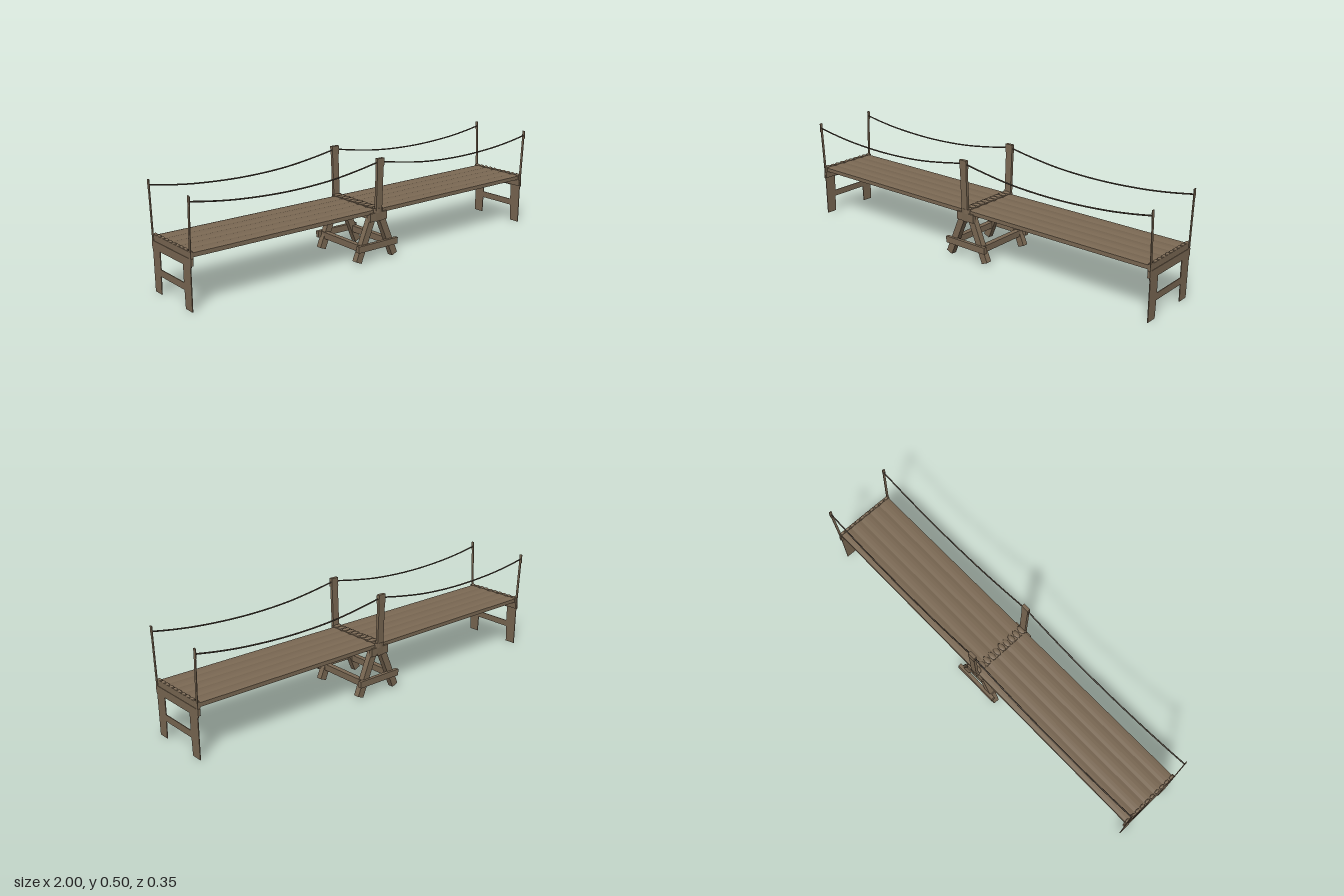
import * as THREE from 'three';

const wood = new THREE.MeshStandardMaterial({ color: 0x7a6853 });
wood.name = 'weathered wood';
const rope = new THREE.MeshStandardMaterial({ color: 0x51463a });
rope.name = 'dark rope';
const V = (x, y, z) => new THREE.Vector3(x, y, z);

function add(group, name, geometry, material = wood) {
  const mesh = new THREE.Mesh(geometry, material);
  mesh.name = name;
  group.add(mesh);
  return mesh;
}

function box(group, name, w, h, d, x, y, z) {
  const mesh = add(group, name, new THREE.BoxGeometry(w, h, d));
  mesh.position.set(x, y, z);
  return mesh;
}

// Squared timber between two points; `side` is the direction of its width
function timber(group, name, a, b, width, depth, side = V(1, 0, 0)) {
  const length = a.distanceTo(b);
  const mesh = add(group, name, new THREE.BoxGeometry(width, length, depth));
  const y = b.clone().sub(a).normalize();
  const z = side.clone().cross(y).normalize();
  const x = y.clone().cross(z);
  mesh.quaternion.setFromRotationMatrix(new THREE.Matrix4().makeBasis(x, y, z));
  mesh.position.copy(a).add(b).multiplyScalar(0.5);
  return mesh;
}

// Long plank with a slightly crowned top, running along x
function plankGeometry(width, length) {
  const h = width / 2;
  const s = new THREE.Shape();
  s.moveTo(-h, 0.236);
  s.lineTo(h, 0.236);
  s.lineTo(h, 0.255);
  s.quadraticCurveTo(0, 0.263, -h, 0.255);
  const g = new THREE.ExtrudeGeometry(s, { depth: length, bevelEnabled: false, curveSegments: 4 });
  return g.rotateY(Math.PI / 2);
}

// Thin end trestle: two legs, apron and cross rail cut from one outline
function endFrameGeometry() {
  const s = new THREE.Shape();
  [[-0.157, 0], [-0.103, 0], [-0.1, 0.083], [0.1, 0.083], [0.103, 0], [0.157, 0],
    [0.159, 0.19], [0.165, 0.2], [0.165, 0.232], [-0.165, 0.232], [-0.165, 0.2], [-0.159, 0.19]]
    .forEach(([x, y], i) => (i ? s.lineTo(x, y) : s.moveTo(x, y)));
  const hole = new THREE.Path();
  hole.moveTo(-0.098, 0.115);
  hole.lineTo(-0.098, 0.195);
  hole.lineTo(0.098, 0.195);
  hole.lineTo(0.098, 0.115);
  s.holes.push(hole);
  const g = new THREE.ExtrudeGeometry(s, { depth: 0.004, bevelEnabled: false });
  return g.translate(0, 0, -0.002).rotateY(Math.PI / 2);
}

export function createModel() {
  const model = new THREE.Group();
  model.name = 'footbridge';

  // Walkway: two spans of five planks
  const deck = new THREE.Group();
  deck.name = 'deck';
  model.add(deck);
  for (const x of [-0.996, 0]) {
    for (let i = 0; i < 5; i++) {
      const plank = add(deck, 'plank', plankGeometry(0.062, 0.996));
      plank.position.set(x, 0, (i - 2) * 0.062);
    }
  }

  // Cross boards with rounded knots over the middle and the ends
  for (const [x, w] of [[-0.991, 0.014], [0, 0.044], [0.991, 0.014]]) {
    box(deck, 'crossBoard', w, 0.03, 0.318, x, 0.246, 0);
    for (let i = 0; i < 10; i++) {
      const knot = add(deck, 'lashing', new THREE.SphereGeometry(1, 8, 6));
      knot.scale.set(w * 0.55, 0.007, 0.014);
      knot.position.set(x, 0.26, (i - 4.5) * 0.032);
    }
  }

  // End trestles with thin rail stakes
  for (const s of [-1, 1]) {
    const end = new THREE.Group();
    end.name = 'endTrestle';
    model.add(end);
    add(end, 'endFrame', endFrameGeometry()).position.x = s * 0.998;
    box(end, 'endApron', 0.012, 0.03, 0.326, s * 0.993, 0.216, 0);
    for (const z of [-1, 1]) {
      timber(end, 'endStake', V(s * 0.998, 0.2, z * 0.155), V(s * 0.998, 0.5, z * 0.168), 0.004, 0.012);
      box(end, 'stakeHead', 0.004, 0.042, 0.015, s * 0.998, 0.478, z * 0.168);
    }
  }

  // Central A-frame trestle
  const trestle = new THREE.Group();
  trestle.name = 'centreTrestle';
  model.add(trestle);
  for (const z of [-1, 1]) {
    for (const s of [-1, 1]) {
      timber(trestle, 'trestleLeg', V(s * 0.018, 0.235, z * 0.138), V(s * 0.111, 0.012, z * 0.138), 0.034, 0.03);
    }
    box(trestle, 'lowerBrace', 0.24, 0.032, 0.018, 0, 0.08, z * 0.156);
    box(trestle, 'topBrace', 0.1, 0.04, 0.022, 0, 0.222, z * 0.153);
    timber(trestle, 'railPost', V(0, 0.2, z * 0.157), V(0, 0.5, z * 0.169), 0.036, 0.014);
    box(trestle, 'postHead', 0.04, 0.042, 0.017, 0, 0.482, z * 0.168);
    const collar = add(trestle, 'postLashing', new THREE.CylinderGeometry(1, 1, 0.022, 10));
    collar.scale.set(0.026, 1, 0.013);
    collar.position.set(0, 0.252, z * 0.156);
  }
  for (const s of [-1, 1]) {
    box(trestle, 'trestleStretcher', 0.026, 0.032, 0.3, s * 0.088, 0.077, 0);
  }
  box(trestle, 'ridgeBeam', 0.045, 0.034, 0.316, 0, 0.218, 0);

  // Sagging hand ropes
  for (const z of [-1, 1]) {
    for (const s of [-1, 1]) {
      const points = [[0, 0.487], [0.13, 0.464], [0.3, 0.442], [0.53, 0.433], [0.76, 0.443], [0.9, 0.459], [0.998, 0.475]];
      const path = new THREE.CatmullRomCurve3(points.map(([x, y]) => V(s * x, y, z * 0.167)));
      add(model, 'handRope', new THREE.TubeGeometry(path, 32, 0.0035, 6), rope);
    }
  }
  return model;
}
